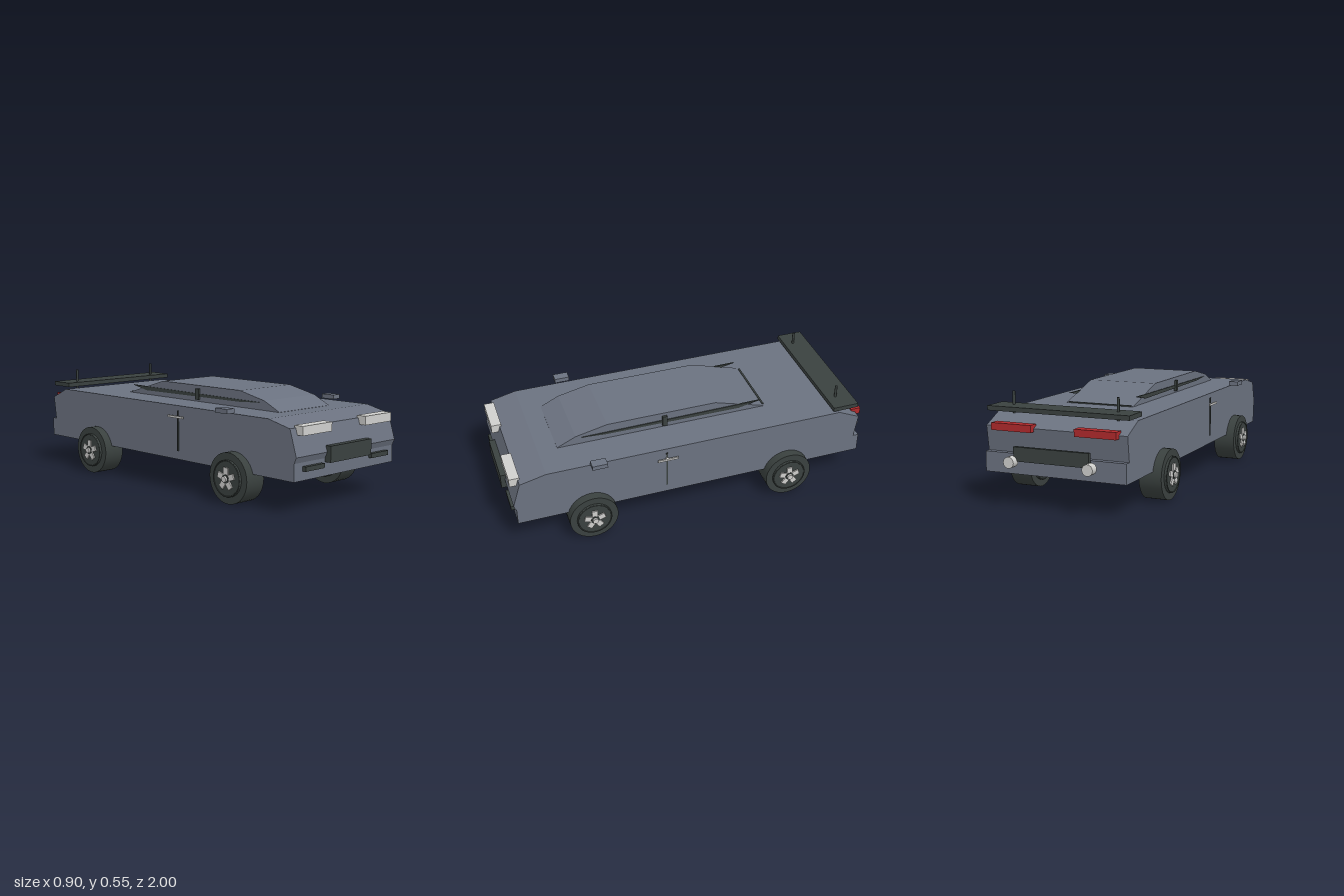
import * as THREE from 'three';

const mat = (name, color) => {
  const m = new THREE.MeshStandardMaterial({ color });
  m.name = name;
  return m;
};

export function createModel() {
  const car = new THREE.Group();
  car.name = 'car';
  const paint = mat('greyPaint', 0x6b7280);
  const dark = mat('darkTrim', 0x3a413f);
  const light = mat('paleMetal', 0xcfcfcd);
  const red = mat('redLens', 0xb02a2c);

  const add = (name, geometry, material, x = 0, y = 0, z = 0, parent = car) => {
    const mesh = new THREE.Mesh(geometry, material);
    mesh.name = name;
    mesh.position.set(x, y, z);
    parent.add(mesh);
    return mesh;
  };
  // Box given by its limits on each axis
  const box = (name, material, x0, x1, y0, y1, z0, z1) =>
    add(name, new THREE.BoxGeometry(x1 - x0, y1 - y0, z1 - z0), material,
      (x0 + x1) / 2, (y0 + y1) / 2, (z0 + z1) / 2);
  const pair = (name, material, x0, x1, ...rest) => {
    box(name + 'Left', material, x0, x1, ...rest);
    box(name + 'Right', material, -x1, -x0, ...rest);
  };
  // Side profile of [z, y] points, extruded across x
  const profile = (name, material, points, width, x = 0) => {
    const shape = new THREE.Shape(points.map(([z, y]) => new THREE.Vector2(z, y)));
    const g = new THREE.ExtrudeGeometry(shape, { depth: width, bevelEnabled: false });
    g.translate(0, 0, -width / 2);
    g.rotateY(-Math.PI / 2);
    return add(name, g, material, x);
  };

  // Body shell and cabin
  profile('body', paint, [
    [0.965, 0.16], [0.965, 0.247], [0.978, 0.277], [0.937, 0.408], [0.8, 0.44],
    [-0.8, 0.44], [-0.918, 0.385], [-0.9, 0.26], [-0.93, 0.26], [-0.93, 0.16],
  ], 0.75);
  profile('cabin', paint, [
    [0.7, 0.435], [0.7, 0.441], [0.6, 0.488], [0.43, 0.525],
    [-0.16, 0.525], [-0.44, 0.441], [-0.44, 0.435],
  ], 0.376);

  // Side windows, pillars and rear window edge
  for (const s of [1, -1]) {
    profile('sideWindow', dark,
      [[0.57, 0.478], [-0.41, 0.486], [-0.29, 0.463], [0.45, 0.468]], 0.009, s * 0.188);
  }
  pair('pillar', dark, 0.18, 0.2, 0.45, 0.508, 0.11, 0.135);
  box('rearWindowEdge', dark, -0.175, 0.175, 0.436, 0.446, -0.444, -0.434);

  // Door details and mirrors
  pair('doorSeam', dark, 0.37, 0.38, 0.205, 0.415, 0.167, 0.175);
  pair('doorHandle', light, 0.389, 0.397, 0.378, 0.389, 0.115, 0.225);
  pair('handleStem', light, 0.37, 0.39, 0.38, 0.387, 0.166, 0.176);
  pair('mirror', paint, 0.374, 0.425, 0.443, 0.466, 0.495, 0.575);

  // Front end
  pair('headlight', light, 0.127, 0.335, 0.375, 0.42, 0.928, 0.982);
  box('frontGrille', dark, -0.155, 0.155, 0.228, 0.308, 0.95, 1);
  pair('frontVent', dark, 0.18, 0.315, 0.205, 0.228, 0.95, 0.985);

  // Rear end
  pair('taillight', red, 0.115, 0.33, 0.369, 0.405, -0.948, -0.895);
  box('rearBumper', dark, -0.2, 0.2, 0.23, 0.3, -0.966, -0.945);
  box('bumperMount', dark, -0.15, 0.15, 0.245, 0.285, -0.947, -0.89);
  for (const s of [1, -1]) {
    const pipe = new THREE.CylinderGeometry(0.028, 0.028, 0.044, 16).rotateX(Math.PI / 2);
    add('exhaust', pipe, light, s * 0.208, 0.228, -0.978);
    const stem = new THREE.CylinderGeometry(0.012, 0.012, 0.05, 10).rotateX(Math.PI / 2);
    add('exhaustStem', stem, light, s * 0.208, 0.228, -0.935);
  }

  // Spoiler
  box('spoiler', dark, -0.378, 0.378, 0.455, 0.478, -0.903, -0.763);
  for (const s of [1, -1]) {
    add('spoilerPost', new THREE.CylinderGeometry(0.007, 0.007, 0.11, 10), dark,
      s * 0.28, 0.49, -0.815);
  }

  // Wheels, alike on both faces
  const disc = (r, w, n = 32) => new THREE.CylinderGeometry(r, r, w, n).rotateZ(Math.PI / 2);
  for (const x of [0.362, -0.362]) {
    for (const z of [0.58, -0.503]) {
      const wheel = new THREE.Group();
      wheel.name = 'wheel';
      wheel.position.set(x, 0.128, z);
      car.add(wheel);
      add('tyre', disc(0.128, 0.118), dark, 0, 0, 0, wheel);
      add('rim', disc(0.092, 0.14), dark, 0, 0, 0, wheel);
      for (const s of [1, -1]) {
        add('rimRing', new THREE.TorusGeometry(0.088, 0.003, 6, 32).rotateY(Math.PI / 2),
          dark, s * 0.07, 0, 0, wheel);
        for (let i = 0; i < 5; i++) {
          const spoke = new THREE.BoxGeometry(0.01, 0.038, 0.03).translate(0, 0.037, 0);
          add('spoke', spoke, light, s * 0.072, 0, 0, wheel).rotation.x = i * Math.PI * 0.4;
        }
        add('hubRing', disc(0.023, 0.008, 20), dark, s * 0.075, 0, 0, wheel);
        add('hub', disc(0.015, 0.02, 16), light, s * 0.08, 0, 0, wheel);
      }
    }
  }
  return car;
}
